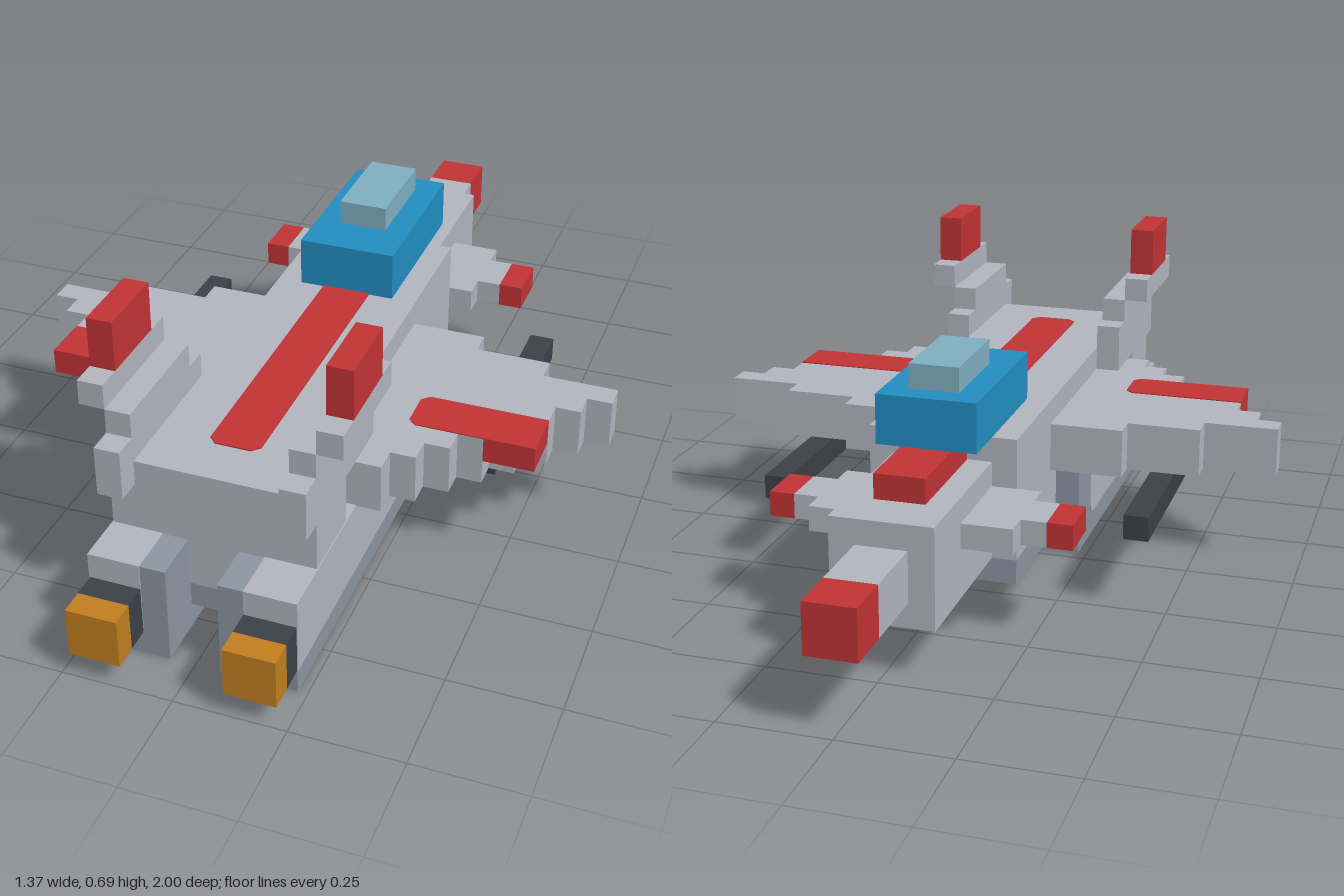
import * as THREE from 'three';

const U = 2 / 35; // one block

function mat(name, color) {
  const m = new THREE.MeshStandardMaterial({ color });
  m.name = name;
  return m;
}

export function createModel() {
  const hull = mat('hull grey', 0xb3b6c0);
  const slate = mat('slate grey', 0x8d96a2);
  const red = mat('red', 0xc23335);
  const blue = mat('canopy blue', 0x228fc3);
  const cyan = mat('pale cyan', 0x80b0c1);
  const dark = mat('charcoal', 0x3c4148);
  const orange = mat('orange', 0xc27f20);

  const model = new THREE.Group();
  model.name = 'starfighter';
  const craft = new THREE.Group();
  craft.name = 'craft';
  craft.scale.setScalar(U);
  model.add(craft);

  function add(name, geo, material) {
    const mesh = new THREE.Mesh(geo, material);
    mesh.name = name;
    craft.add(mesh);
    return mesh;
  }
  // box given by its extents in blocks
  function block(name, material, x0, x1, y0, y1, z0, z1) {
    const geo = new THREE.BoxGeometry(Math.abs(x1 - x0), y1 - y0, z1 - z0);
    geo.translate((x0 + x1) / 2, (y0 + y1) / 2, (z0 + z1) / 2);
    return add(name, geo, material);
  }
  // flat outline in x,z raised from y0 by h
  function slab(name, material, pts, y0, h) {
    const shape = new THREE.Shape(pts.map(([x, z]) => new THREE.Vector2(x, -z)));
    const geo = new THREE.ExtrudeGeometry(shape, { depth: h, bevelEnabled: false });
    geo.rotateX(-Math.PI / 2).translate(0, y0, 0);
    return add(name, geo, material);
  }

  // nose and fuselage
  block('noseTip', red, -1, 1, 3, 5, -17.5, -15.5);
  block('nose', hull, -1, 1, 3, 5, -15.5, -12.5);
  block('forwardFuselage', hull, -2, 2, 2, 6, -12.5, -5.5);
  block('noseRidge', red, -1, 1, 6, 7, -10.5, -5.5);
  block('fuselage', hull, -3, 3, 2, 7, -5.5, 13.5);
  block('belly', slate, -3, 3, 1, 2, -5.5, 13.5);
  slab('spineStripe', red, [
    [-1, -0.5], [1, -0.5], [1, 11.2], [0.7, 11.5], [-0.7, 11.5], [-1, 11.2],
  ], 7, 0.05);

  // canopy
  block('canopy', blue, -2, 2, 7, 9, -7.5, -0.5);
  block('canopyTop', cyan, -1, 1, 9, 10, -6.5, -2.5);

  for (const [side, s] of [['left', 1], ['right', -1]]) {
    const pair = (name, material, x0, x1, ...rest) =>
      block(side + name, material, s * x0, s * x1, ...rest);

    // stepped wing: straight leading steps, staircase trailing edge
    const outline = [[3, -0.5], [6, -0.5], [6, 0.5], [9, 0.5], [9, 1.5], [12, 1.5]];
    for (let x = 12; x > 4; x--) outline.push([x, 14.5 - x], [x - 1, 14.5 - x]);
    outline.push([4, 9.5], [3, 9.5]);
    const pts = outline.filter((p, i) =>
      i === 0 || p[0] !== outline[i - 1][0] || p[1] !== outline[i - 1][1]);
    slab(side + 'Wing', hull, pts.map(([x, z]) => [s * x, z]), 4, 2);
    // red flap, sunk into the wing and painted across its top
    slab(side + 'WingFlap', red, [
      [5.3, 4.5], [10, 4.5], [10, 6.5], [5.3, 6.5], [5, 6.2], [5, 4.8],
    ].map(([x, z]) => [s * x, z]), 5, 1.04);
    pair('Cannon', dark, 7, 8, 3, 4, -4.5, 4.5);

    // canard
    pair('CanardRoot', hull, 2, 4, 4, 5, -9.5, -5.5);
    pair('CanardArm', hull, 4, 5, 4, 5, -8.5, -6.5);
    pair('CanardTip', red, 5, 6, 4, 5, -8.5, -6.5);

    // tail fin
    pair('FinFoot', hull, 3, 4, 4, 6, 10.5, 13.5);
    pair('FinLower', hull, 3, 4, 6, 8, 7.5, 14.5);
    pair('FinMiddle', hull, 3, 4, 8, 9, 8.5, 13.5);
    pair('FinUpper', hull, 4, 5, 9, 10, 8.5, 13.5);
    pair('FinTip', red, 4, 5, 10, 12, 9.5, 12.5);

    // engine pod with a pale outer shell, rounded at its lower front corner
    pair('EnginePod', slate, 1, 4, 0, 4, 0.5, 15.5);
    const shell = new THREE.Shape();
    shell.moveTo(15.54, 4.04);
    shell.lineTo(2.5, 4.04);
    shell.lineTo(2.5, 1.6);
    shell.quadraticCurveTo(2.5, 1, 1.9 + 1.2, 1);
    shell.lineTo(15.54, 1);
    const shellGeo = new THREE.ExtrudeGeometry(shell, { depth: 2.04, bevelEnabled: false });
    shellGeo.rotateY(-Math.PI / 2).translate(s > 0 ? 4.04 : -2, 0, 0);
    add(side + 'EngineShell', shellGeo, hull);
    pair('NozzleCollar', dark, 2, 4, 1, 3, 15.5, 16.5);
    pair('NozzleGlow', orange, 2, 4, 1, 3, 16.5, 17.5);
  }
  return model;
}
